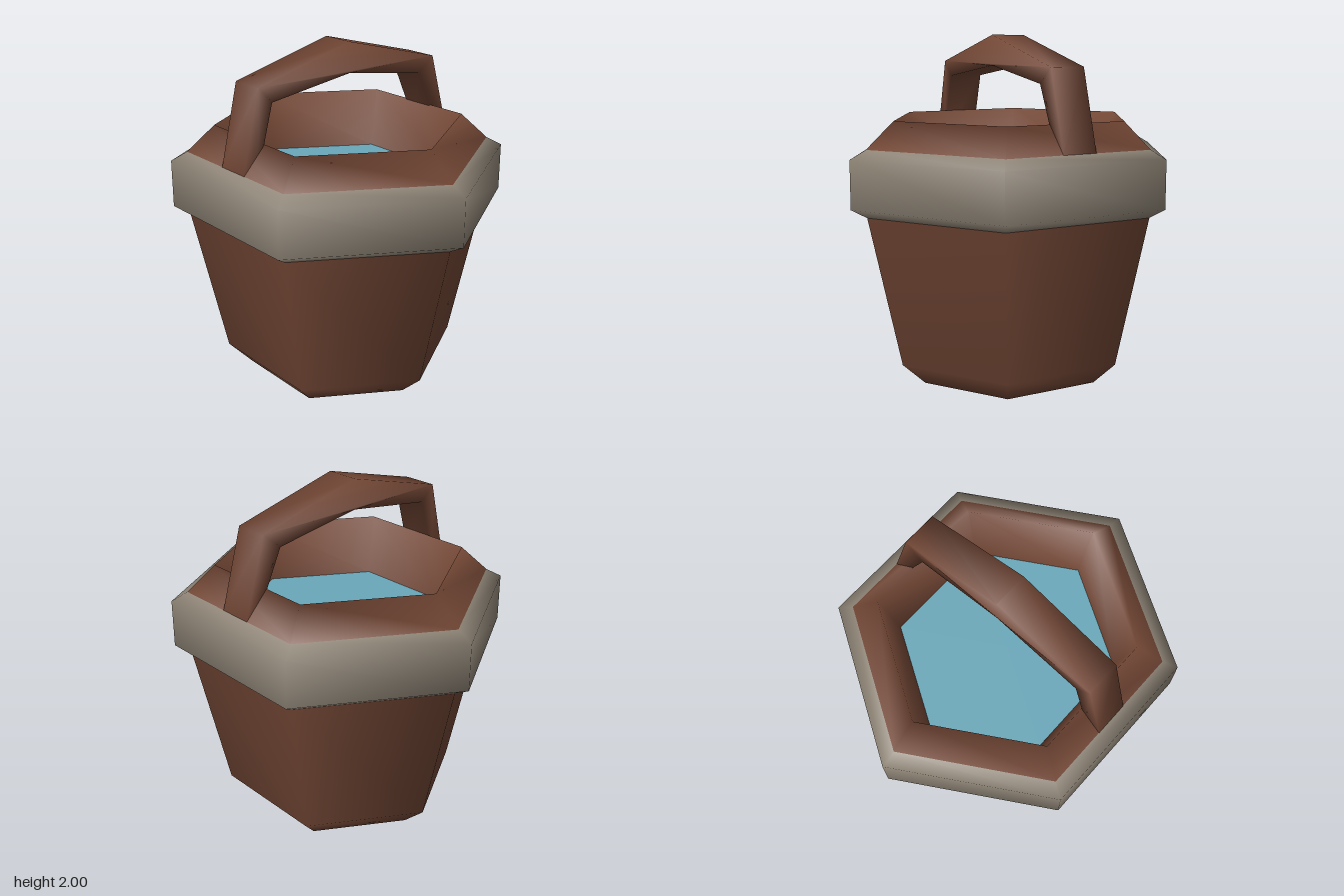
import * as THREE from 'three';
import { mergeVertices } from 'three/addons/utils/BufferGeometryUtils.js';

const material = (name, color) => {
  const m = new THREE.MeshStandardMaterial({ color });
  m.name = name;
  return m;
};

const SIDES = 6;
const X_SCALE = 0.962; // the hexagon is slightly narrow across x

// Smooth-shaded six-sided ring from [radius, height] pairs
function hexLathe(name, profile, mat) {
  const points = profile.map(([r, y]) => new THREE.Vector2(r, y));
  const geometry = new THREE.LatheGeometry(points, SIDES);
  geometry.scale(X_SCALE, 1, 1);
  const mesh = new THREE.Mesh(geometry, mat);
  mesh.name = name;
  return mesh;
}

export function createModel() {
  const wood = material('brown wood', 0x734735);
  const band = material('grey band', 0x8f8577);
  const water = material('blue water', 0x6aa8ba);
  const bucket = new THREE.Group();
  bucket.name = 'bucket';

  // Tapered body with chamfered foot
  bucket.add(hexLathe('body', [[0, 0], [0.57, 0], [0.71, 0.13], [0.905, 1.0], [0.905, 1.02]], wood));

  // Bevelled band around the top
  bucket.add(hexLathe('band', [[0.9, 1.0], [1, 1.055], [1, 1.33], [0.905, 1.38]], band));

  // Sloped rim and inner wall
  bucket.add(hexLathe('rim', [[0.905, 1.38], [0.74, 1.53], [0.64, 1.19]], wood));

  // Water surface
  const surface = new THREE.CircleGeometry(0.642, SIDES, Math.PI / 2);
  surface.rotateX(-Math.PI / 2);
  surface.scale(X_SCALE, 1, 1);
  const waterMesh = new THREE.Mesh(surface, water);
  waterMesh.name = 'water';
  waterMesh.position.y = 1.192;
  bucket.add(waterMesh);

  // Slightly uneven bent handle, with softened normals
  const outline = [
    [-0.755, 1.38], [-0.66, 1.38], [-0.56, 1.75], [-0.02, 1.825], [0.515, 1.74],
    [0.68, 1.38], [0.755, 1.38], [0.625, 1.83], [-0.02, 2.0], [-0.645, 1.84],
  ];
  const shape = new THREE.Shape(outline.map(([x, y]) => new THREE.Vector2(x, y)));
  let handleGeometry = new THREE.ExtrudeGeometry(shape, { depth: 0.205, bevelEnabled: false });
  handleGeometry.deleteAttribute('normal');
  handleGeometry.deleteAttribute('uv');
  handleGeometry = mergeVertices(handleGeometry);
  handleGeometry.computeVertexNormals();
  const handle = new THREE.Mesh(handleGeometry, wood);
  handle.name = 'handle';
  handle.position.z = -0.095;
  bucket.add(handle);

  return bucket;
}
